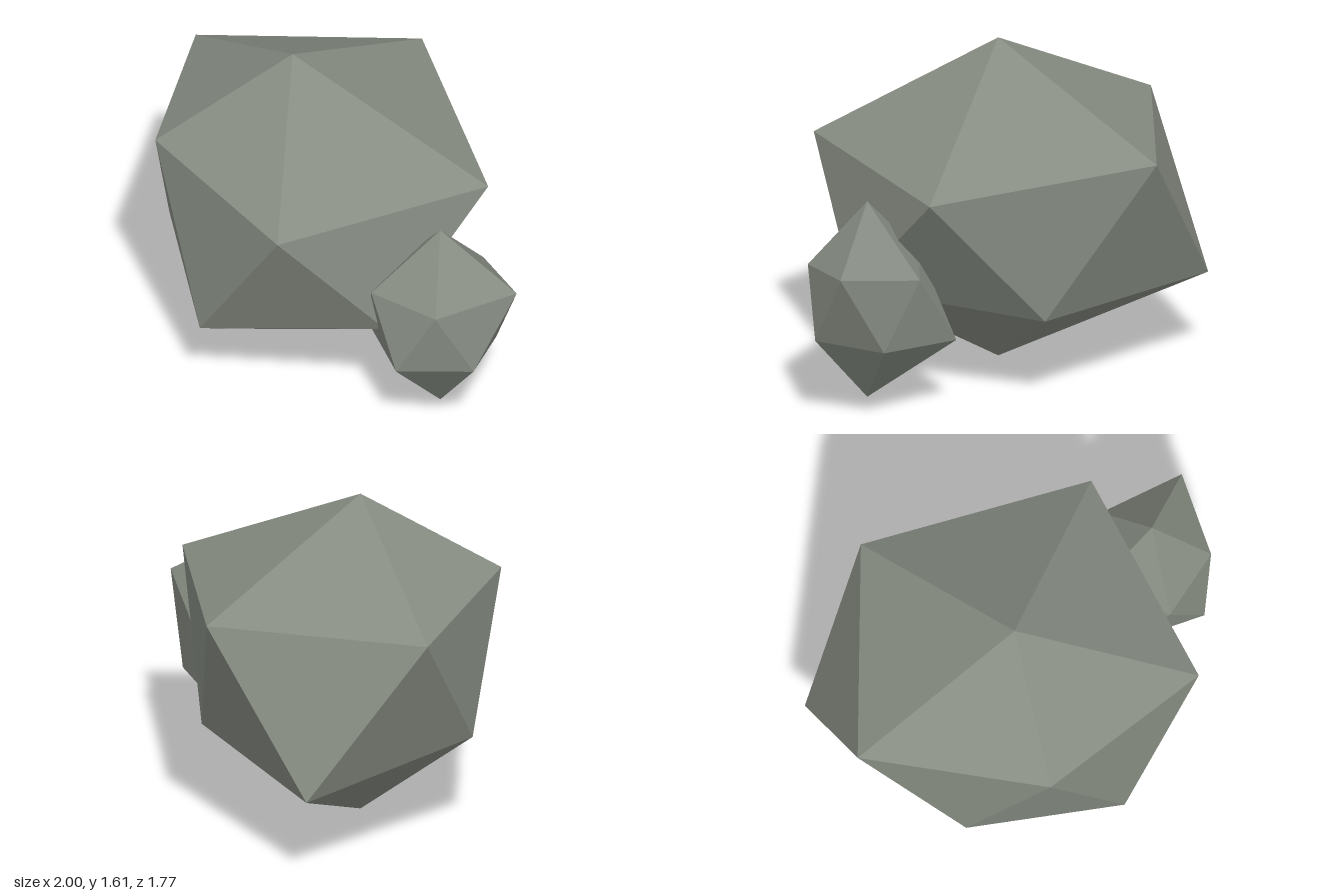
import * as THREE from 'three';

const stone = new THREE.MeshStandardMaterial({ color: 0x868c82, flatShading: true });
stone.name = 'grey stone';

// Irregular icosahedron: two staggered rings of five [radius, height] points between two poles.
function boulder(name, x, z, topY, bottomY, upper, lower) {
  const ring = (points, offset) => points.map(([r, y], i) => {
    const a = (i * 72 + offset) * Math.PI / 180;
    return [x + r * Math.cos(a), y, z + r * Math.sin(a)];
  });
  const top = [x, topY, z];
  const bottom = [x, bottomY, z];
  const u = ring(upper, 0);
  const l = ring(lower, 36);
  const corners = [];
  for (let i = 0; i < 5; i++) {
    const j = (i + 1) % 5;
    corners.push(top, u[j], u[i]);
    corners.push(u[i], u[j], l[i]);
    corners.push(u[j], l[j], l[i]);
    corners.push(bottom, l[i], l[j]);
  }
  const geometry = new THREE.BufferGeometry();
  geometry.setAttribute('position', new THREE.Float32BufferAttribute(corners.flat(), 3));
  geometry.computeVertexNormals();
  const mesh = new THREE.Mesh(geometry, stone);
  mesh.name = name;
  return mesh;
}

export function createModel() {
  const group = new THREE.Group();
  group.name = 'rocks';

  // Main boulder
  group.add(boulder('largeRock', -0.29, 0.05, 1.61, 0,
    [[1.0, 1.12], [0.87, 1.13], [0.665, 1.22], [0.88, 1.17], [0.935, 1.18]],
    [[0.84, 0.53], [0.67, 0.38], [0.63, 0.51], [0.99, 0.43], [0.75, 0.45]]));

  // Smaller stone leaning into its side
  group.add(boulder('smallRock', 0.61, 0.395, 1.07, 0.08,
    [[0.39, 0.81], [0.28, 0.75], [0.335, 0.76], [0.3, 0.75], [0.31, 0.74]],
    [[0.3, 0.43], [0.32, 0.42], [0.36, 0.41], [0.42, 0.37], [0.27, 0.4]]));

  return group;
}
